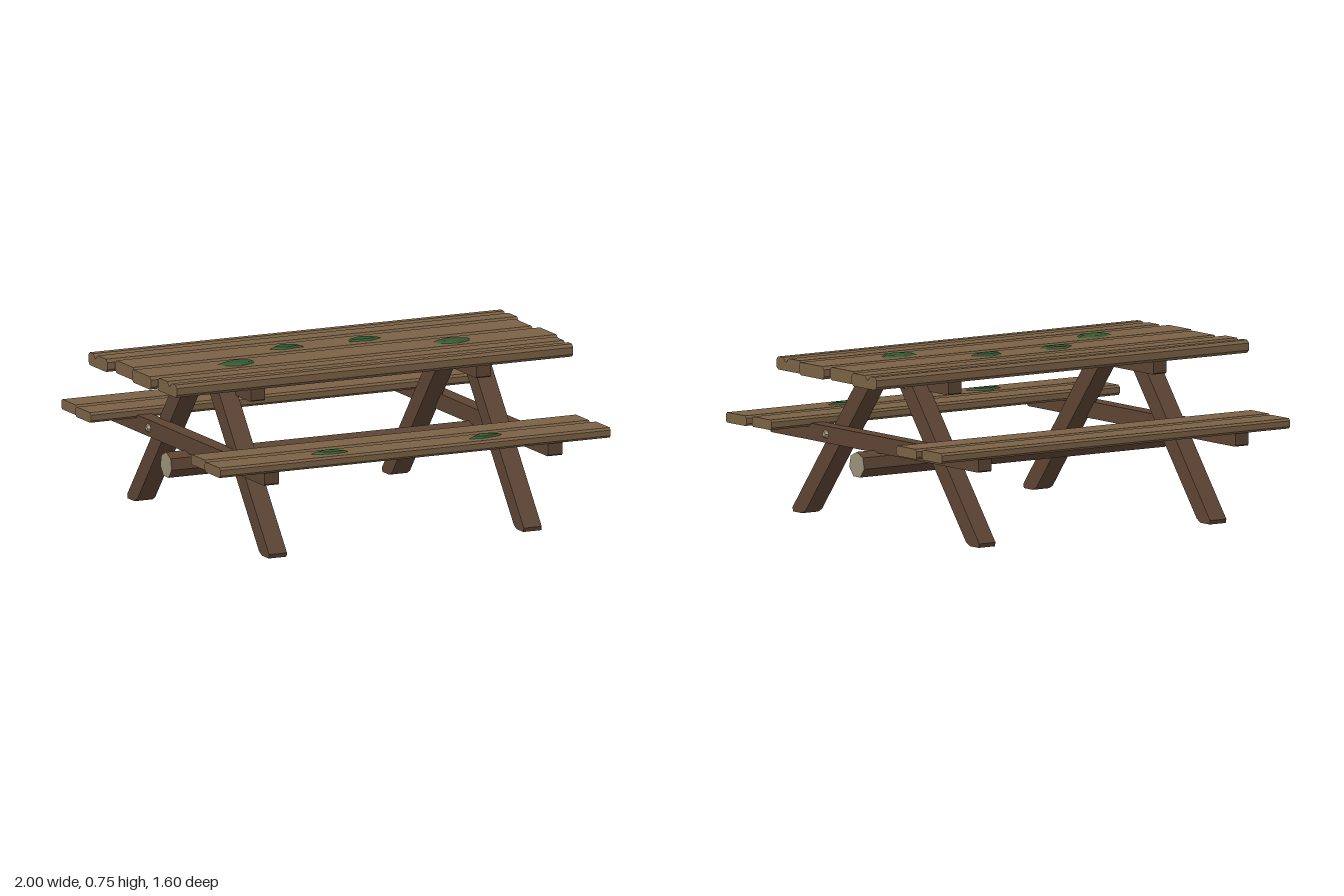
import * as THREE from 'three';

const material = (color) => new THREE.MeshStandardMaterial({ color, flatShading: true });

export function createModel() {
  const plankMat = material(0x7a6145);
  const frameMat = material(0x5c4433);
  const paleMat = material(0x9b9078);
  const mossMat = material(0x2f5a2e);
  const model = new THREE.Group();

  const add = (name, geometry, mat, x = 0, y = 0, z = 0) => {
    const mesh = new THREE.Mesh(geometry, mat);
    mesh.name = name;
    mesh.position.set(x, y, z);
    model.add(mesh);
    return mesh;
  };

  // Extrudes a [z, y] profile along x, centred on x = 0
  const extrudeX = (points, length) => {
    const shape = new THREE.Shape(points.map(([a, b]) => new THREE.Vector2(a, b)));
    return new THREE.ExtrudeGeometry(shape, { depth: length, bevelEnabled: false })
      .translate(0, 0, -length / 2)
      .rotateY(-Math.PI / 2);
  };

  // Chamfered rectangle profile, with an optional V groove in its top
  const profile = (z0, z1, y0, y1, c, groove) => {
    const pts = [[z0 + c, y0], [z1 - c, y0], [z1, y0 + c], [z1, y1 - c], [z1 - c, y1]];
    if (groove !== undefined) {
      pts.push([groove + 0.022, y1], [groove, y1 - 0.02], [groove - 0.022, y1]);
    }
    pts.push([z0 + c, y1], [z0, y1 - c], [z0, y0 + c]);
    return pts;
  };

  // Table top planks: z0, z1, half length, groove position
  [
    [-0.40, -0.213, 1.0, -0.332],
    [-0.197, -0.008, 0.97],
    [0.008, 0.197, 0.99],
    [0.213, 0.40, 0.965, 0.328],
  ].forEach(([z0, z1, half, groove]) =>
    add('tablePlank', extrudeX(profile(z0, z1, 0.687, 0.744, 0.013, groove), half * 2), plankMat));

  // Bench planks
  [
    [-0.80, -0.648, 0.935],
    [-0.63, -0.477, 0.95],
    [0.477, 0.625, 0.935],
    [0.645, 0.80, 0.95],
  ].forEach(([z0, z1, half]) =>
    add('benchPlank', extrudeX(profile(z0, z1, 0.405, 0.45, 0.01), half * 2), plankMat));

  const legPoints = [
    [0.695, 0], [0.70, 0.018], [0.175, 0.683], [0.07, 0.683], [0.60, 0.015], [0.628, 0],
  ];

  for (const side of [-1, 1]) {
    // Beams under the top (inside the legs) and the benches (outside)
    add('topBeam', extrudeX(profile(-0.36, 0.36, 0.627, 0.69, 0.005), 0.07), frameMat, side * 0.55);
    add('benchBeam', extrudeX(profile(-0.78, 0.78, 0.346, 0.42, 0.006), 0.07), frameMat, side * 0.69);

    for (const end of [-1, 1]) {
      // Slanted legs
      add('leg', extrudeX(legPoints.map(([z, y]) => [z * end, y]), 0.087), frameMat, side * 0.62);

      // Bolt heads on legs and bench beams
      for (const [x, y, z] of [[0.662, 0.655, 0.145], [0.724, 0.384, 0.363]]) {
        const bolt = new THREE.CylinderGeometry(0.012, 0.022, 0.014, 6);
        bolt.translate(0, 0.006, 0).rotateZ(-side * Math.PI / 2);
        add('bolt', bolt, paleMat, side * x, y, end * z);
      }
    }
  }

  // Log stretcher with pale cut ends
  const log = new THREE.CylinderGeometry(0.058, 0.058, 1.64, 7, 1, false, Math.PI / 2);
  add('logStretcher', log.rotateZ(Math.PI / 2), [frameMat, paleMat, paleMat], 0, 0.298, 0);

  // Low moss patch: an outline that narrows towards a flat crown
  const mossGeometry = (outline, y) => {
    const n = outline.length;
    const cx = outline.reduce((s, p) => s + p[0], 0) / n;
    const cz = outline.reduce((s, p) => s + p[1], 0) / n;
    const ring = (k, h) => outline.map(([x, z]) =>
      [cx + (x - cx) * k, y + h, cz + (z - cz) * k]);
    const low = ring(1, -0.002);
    const high = ring(0.72, 0.008);
    const positions = [];
    for (let i = 0; i < n; i++) {
      const j = (i + 1) % n;
      positions.push(...low[i], ...high[j], ...low[j], ...low[i], ...high[i], ...high[j]);
      positions.push(...high[i], cx, y + 0.009, cz, ...high[j]);
    }
    const geometry = new THREE.BufferGeometry();
    geometry.setAttribute('position', new THREE.Float32BufferAttribute(positions, 3));
    geometry.computeVertexNormals();
    return geometry;
  };

  // Moss outlines as [x, z], running clockwise from above; mirrored across x
  const mossPatches = [
    [0.744, [[-0.62, 0.09], [-0.52, 0.045], [-0.43, 0.085], [-0.45, 0.13], [-0.53, 0.16], [-0.60, 0.13]]],
    [0.744, [[-0.275, -0.09], [-0.24, -0.12], [-0.19, -0.147], [-0.115, -0.11], [-0.105, -0.075], [-0.21, -0.06]]],
    [0.45, [[-0.47, 0.712], [-0.38, 0.672], [-0.33, 0.70], [-0.29, 0.735], [-0.35, 0.752], [-0.43, 0.735]]],
  ];
  for (const [y, outline] of mossPatches) {
    add('mossPatch', mossGeometry(outline, y), mossMat);
    const mirrored = outline.map(([x, z]) => [-x, z]).reverse();
    add('mossPatch', mossGeometry(mirrored, y), mossMat);
  }

  return model;
}
